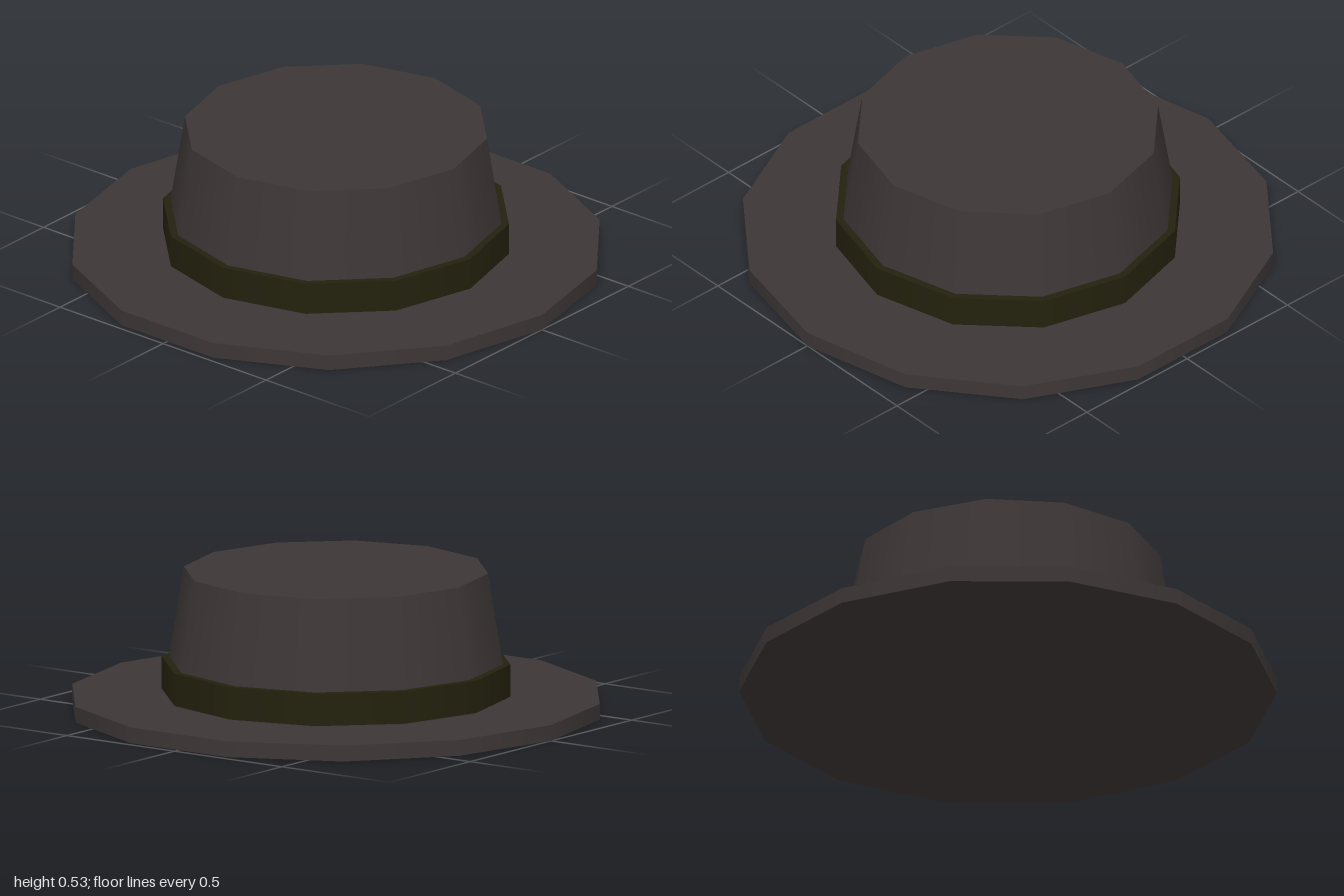
import * as THREE from 'three';

const felt = new THREE.MeshStandardMaterial({ color: 0x3d3636 });
felt.name = 'dark felt';
const ribbon = new THREE.MeshStandardMaterial({ color: 0x23210d });
ribbon.name = 'olive ribbon';

// Low-sided, smooth-shaded drum standing between two heights
function drum(name, material, topRadius, bottomRadius, y0, y1, sides) {
  const geometry = new THREE.CylinderGeometry(topRadius, bottomRadius, y1 - y0, sides);
  geometry.translate(0, (y0 + y1) / 2, 0);
  const mesh = new THREE.Mesh(geometry, material);
  mesh.name = name;
  return mesh;
}

export function createModel() {
  const hat = new THREE.Group();
  hat.name = 'hat';
  hat.add(
    drum('brim', felt, 1, 1, 0, 0.06, 14),
    drum('crown', felt, 0.57, 0.645, 0.06, 0.53, 12),
    drum('hatBand', ribbon, 0.653, 0.653, 0.065, 0.187, 12),
  );
  return hat;
}
